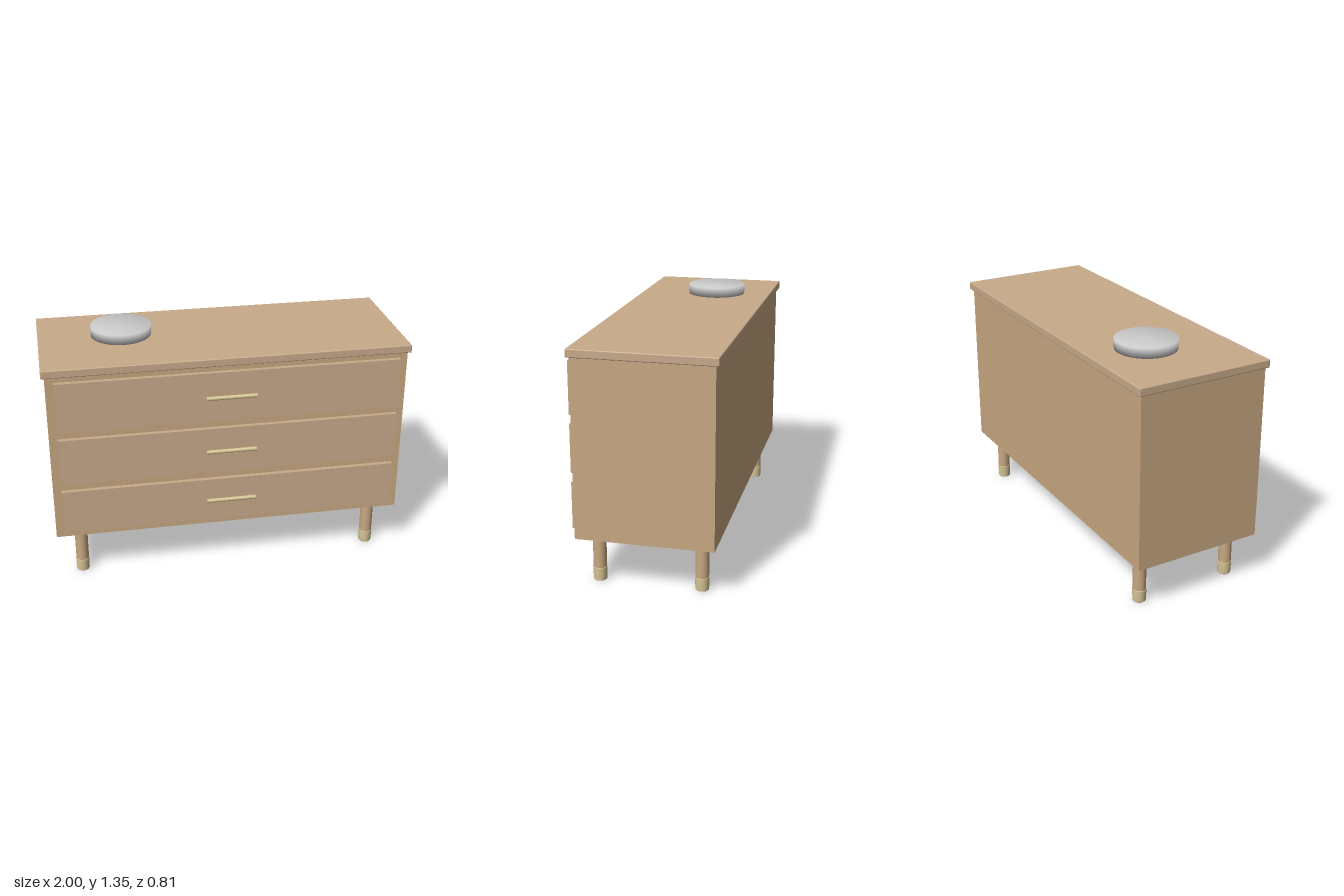
import * as THREE from 'three';
import { RoundedBoxGeometry } from 'three/addons/geometries/RoundedBoxGeometry.js';

const material = (color) => new THREE.MeshStandardMaterial({ color });

export function createModel() {
  const model = new THREE.Group();
  model.name = 'dresser';
  const wood = material(0xc8a882);
  const drawerWood = material(0xc8aa8a);
  const brass = material(0xd6c595);
  const grey = material(0xcccccc);

  const add = (parent, name, geometry, mat, x = 0, y = 0, z = 0) => {
    const mesh = new THREE.Mesh(geometry, mat);
    mesh.name = name;
    mesh.position.set(x, y, z);
    parent.add(mesh);
    return mesh;
  };

  // Case and overhanging top
  add(model, 'case', new THREE.BoxGeometry(1.965, 0.97, 0.736), wood, 0, 0.765, -0.018);
  add(model, 'top', new RoundedBoxGeometry(2, 0.045, 0.77, 3, 0.006), drawerWood, 0, 1.272, -0.02);

  // Drawers, each with a bar handle on two short posts
  const drawers = [
    ['upper', 0.938, 1.22, 1.08],
    ['middle', 0.625, 0.89, 0.757],
    ['lower', 0.321, 0.575, 0.449],
  ];
  for (const [level, bottom, top, handleY] of drawers) {
    const drawer = new THREE.Group();
    drawer.name = `${level}Drawer`;
    model.add(drawer);
    add(drawer, 'drawerFront', new THREE.BoxGeometry(1.876, top - bottom, 0.03),
      drawerWood, 0, (top + bottom) / 2, 0.36);
    const bar = add(drawer, 'handleBar', new THREE.CylinderGeometry(0.011, 0.011, 0.276, 20),
      brass, 0, handleY, 0.392);
    bar.rotation.z = Math.PI / 2;
    for (const side of [-1, 1]) {
      const post = add(drawer, 'handlePost', new THREE.CylinderGeometry(0.006, 0.006, 0.022, 12),
        brass, side * 0.105, handleY, 0.381);
      post.rotation.x = Math.PI / 2;
    }
  }

  // Round legs with brass ferrules, softened at the floor
  const ferruleProfile = [
    [0, 0], [0.033, 0], [0.036, 0.004], [0.0385, 0.072], [0.0375, 0.075], [0.03, 0.075],
  ].map(([r, y]) => new THREE.Vector2(r, y));
  for (const x of [-0.845, 0.845]) {
    for (const z of [-0.295, 0.26]) {
      const leg = new THREE.Group();
      leg.name = `${z > 0 ? 'front' : 'back'}${x > 0 ? 'Left' : 'Right'}Leg`;
      leg.position.set(x, 0, z);
      model.add(leg);
      add(leg, 'legPost', new THREE.CylinderGeometry(0.036, 0.036, 0.22, 32), wood, 0, 0.18, 0);
      add(leg, 'ferrule', new THREE.LatheGeometry(ferruleProfile, 32), brass);
    }
  }

  // Shallow round dish on the top, with soft shading across the rim
  const dishProfile = [[0, 0], [0.167, 0], [0.168, 0.056], [0, 0.056]]
    .map(([r, y]) => new THREE.Vector2(r, y));
  add(model, 'dish', new THREE.LatheGeometry(dishProfile, 48), grey, -0.54, 1.294, -0.083);

  return model;
}
